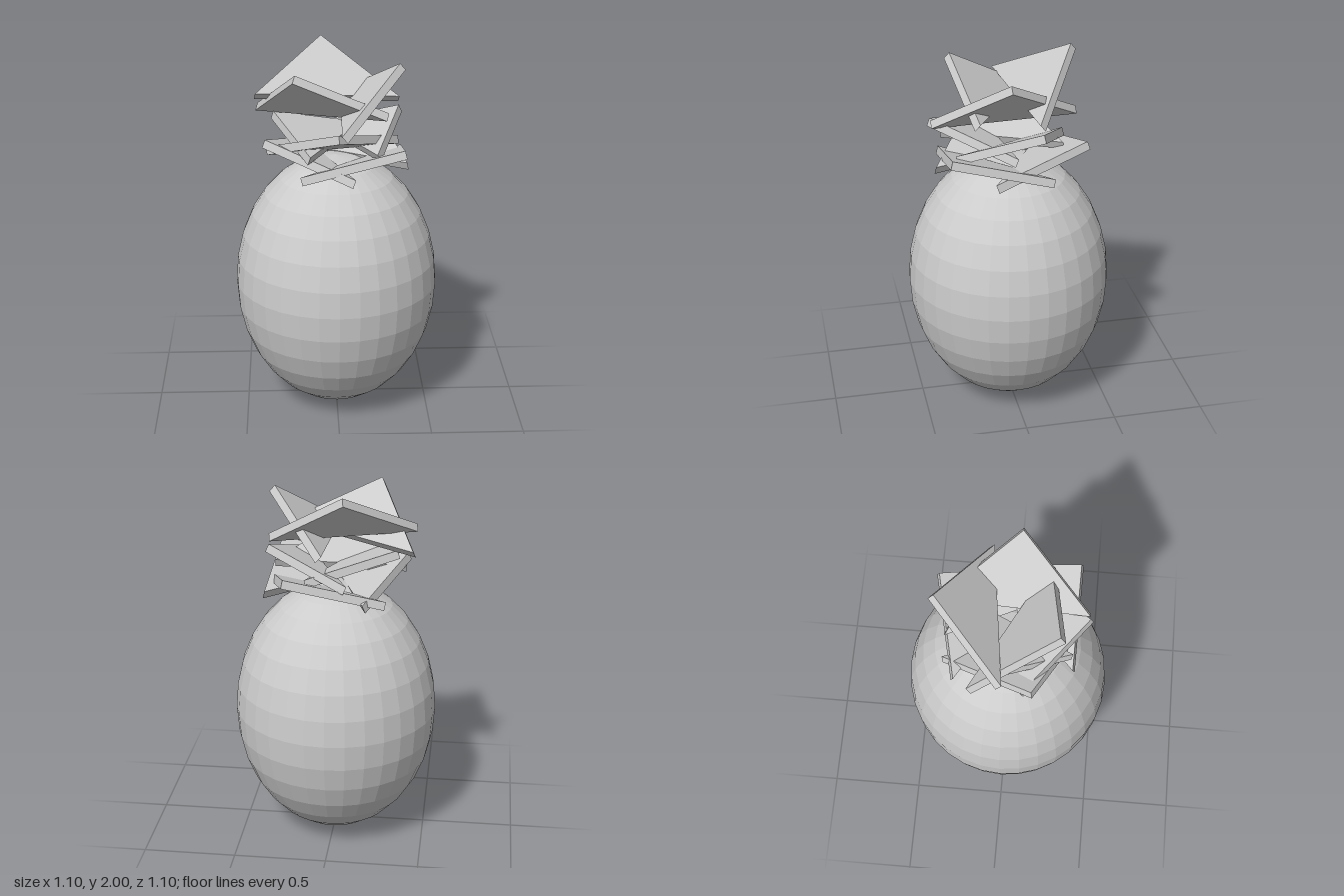
import * as THREE from 'three';
import { ConvexGeometry } from 'three/addons/geometries/ConvexGeometry.js';

const THICKNESS = 0.045;

// Each leaf is a flat triangle: raised outer tip, then the two base corners.
const TIERS = {
  lowerLeaf: [
    [[0.345, 1.545, 0.36], [0.365, 1.405, -0.17], [-0.19, 1.405, 0.355]],
    [[0.235, 1.545, -0.38], [0.375, 1.405, 0.13], [-0.285, 1.405, -0.265]],
    [[-0.385, 1.545, 0.15], [-0.18, 1.405, -0.325], [0.08, 1.405, 0.405]],
  ],
  middleLeaf: [
    [[0, 1.65, 0.425], [-0.37, 1.49, 0.1], [0.33, 1.52, 0.02]],
    [[0.35, 1.65, -0.12], [0.21, 1.51, 0.31], [-0.08, 1.5, -0.32]],
    [[-0.34, 1.63, -0.09], [0.13, 1.51, -0.27], [-0.15, 1.51, 0.34]],
  ],
  upperLeaf: [
    [[-0.075, 1.982, -0.365], [-0.43, 1.755, -0.01], [0.34, 1.705, -0.11]],
    [[0.345, 1.925, 0.05], [0.03, 1.645, 0.415], [0.05, 1.675, -0.355]],
    [[-0.225, 1.925, 0.285], [-0.425, 1.655, -0.16], [0.26, 1.7, 0.21]],
  ],
};

// Triangular plate thickened evenly on both sides of its plane.
function leafGeometry(corners) {
  const points = corners.map((c) => new THREE.Vector3(...c));
  const normal = new THREE.Triangle(...points).getNormal(new THREE.Vector3());
  const solid = [];
  for (const side of [-0.5, 0.5]) {
    for (const p of points) solid.push(p.clone().addScaledVector(normal, side * THICKNESS));
  }
  return new ConvexGeometry(solid);
}

export function createModel() {
  const model = new THREE.Group();
  model.name = 'pineapple';
  const material = new THREE.MeshStandardMaterial({ color: 0xcccccc, flatShading: true });

  // Faceted egg-shaped fruit
  const body = new THREE.Mesh(new THREE.SphereGeometry(0.55, 32, 16), material);
  body.name = 'fruitBody';
  body.scale.y = 1.3;
  body.position.y = 0.718;
  model.add(body);

  // Crown: three tiers of three leaves
  const crown = new THREE.Group();
  crown.name = 'crown';
  for (const [name, leaves] of Object.entries(TIERS)) {
    leaves.forEach((corners, i) => {
      const leaf = new THREE.Mesh(leafGeometry(corners), material);
      leaf.name = `${name}${i + 1}`;
      crown.add(leaf);
    });
  }
  model.add(crown);
  return model;
}
